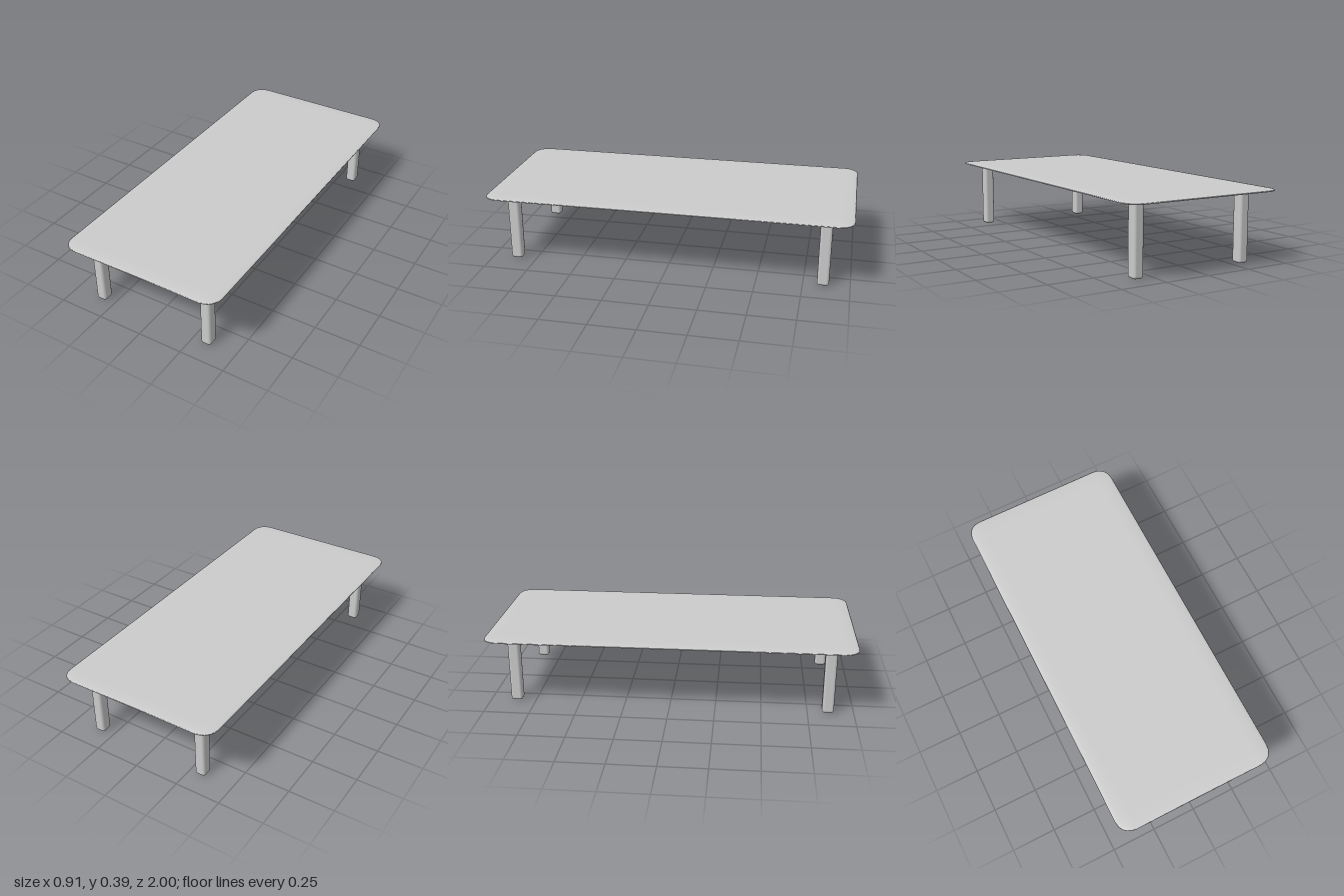
import * as THREE from 'three';
import { RoundedBoxGeometry } from 'three/addons/geometries/RoundedBoxGeometry.js';

export function createModel() {
  const table = new THREE.Group();
  table.name = 'table';
  const material = new THREE.MeshStandardMaterial({ color: 0xcccccc });

  // Thin top: a rounded slab flattened in height, so its rim tapers softly
  const topHeight = 0.017;
  const slabHeight = 0.19;
  const topGeometry = new RoundedBoxGeometry(0.908, slabHeight, 2, 3, 0.08);
  topGeometry.scale(1, topHeight / slabHeight, 1);
  const top = new THREE.Mesh(topGeometry, material);
  top.name = 'tabletop';
  top.position.y = 0.3825;
  table.add(top);

  // Four softly bevelled legs; the back right one stands slightly further in
  const legHeight = 0.38;
  const legGeometry = new RoundedBoxGeometry(0.058, legHeight, 0.064, 2, 0.015);
  const legs = [
    ['frontLeftLeg', 0.331, 0.861],
    ['frontRightLeg', -0.329, 0.861],
    ['backLeftLeg', 0.331, -0.857],
    ['backRightLeg', -0.314, -0.857],
  ];
  for (const [name, x, z] of legs) {
    const leg = new THREE.Mesh(legGeometry, material);
    leg.name = name;
    leg.position.set(x, legHeight / 2, z);
    table.add(leg);
  }

  return table;
}
